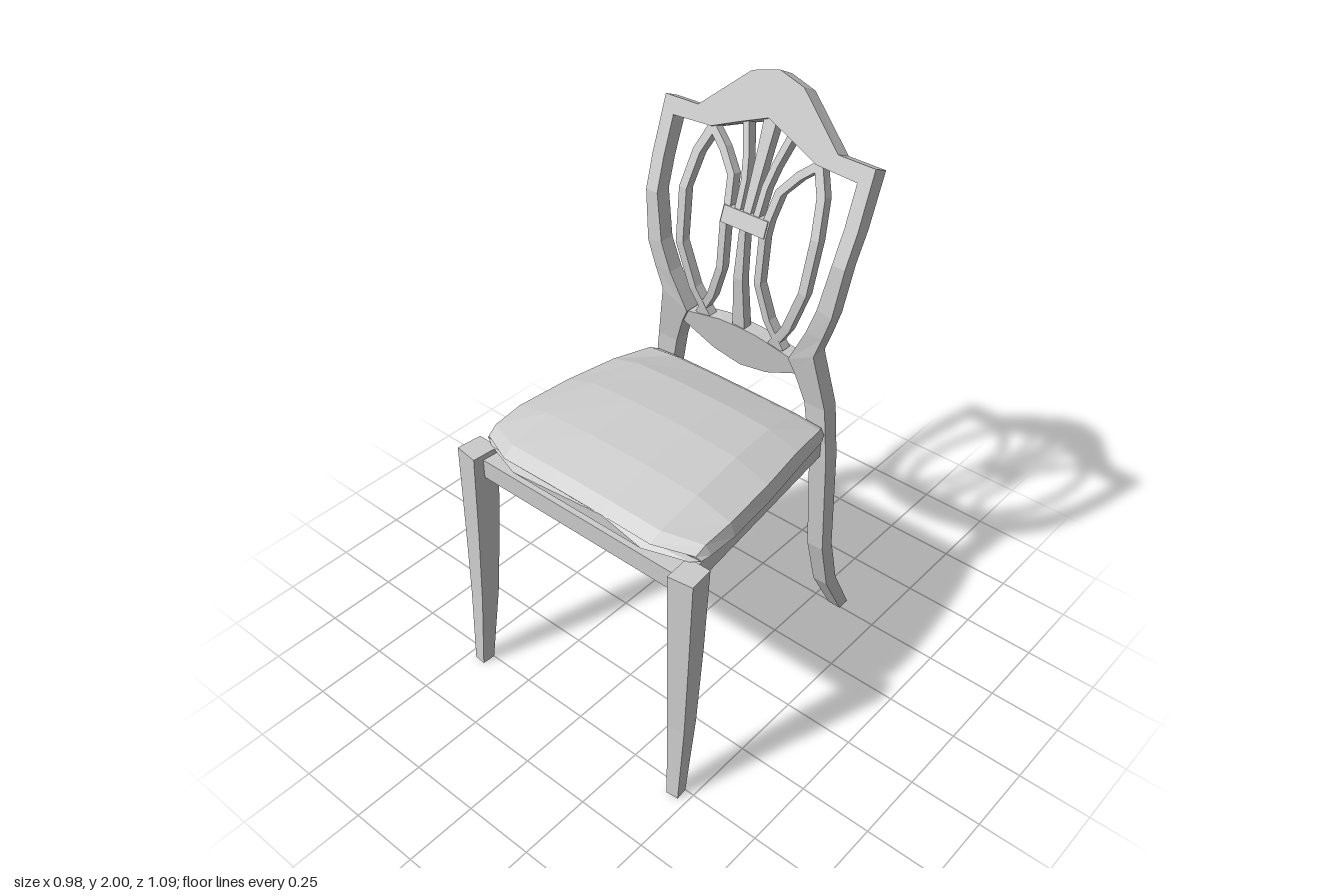
import * as THREE from 'three';

const material = new THREE.MeshStandardMaterial({ color: 0xcccccc, flatShading: true, side: THREE.DoubleSide });

// Side curve of the back and rear legs: height, front z, rear z
const CURVE = [
  [0, -0.495, -0.543], [0.2, -0.385, -0.44], [0.4, -0.335, -0.39], [0.8, -0.31, -0.37], [1.0, -0.31, -0.37],
  [1.2, -0.285, -0.345], [1.36, -0.28, -0.335], [1.53, -0.295, -0.352], [1.8, -0.395, -0.45], [2.0, -0.463, -0.522],
];
function curveAt(y) {
  let i = 1;
  while (i < CURVE.length - 1 && y > CURVE[i][0]) i++;
  const [y0, f0, b0] = CURVE[i - 1], [y1, f1, b1] = CURVE[i];
  const t = (y - y0) / (y1 - y0);
  return [f0 + (f1 - f0) * t, b0 + (b1 - b0) * t];
}

// Closed solid through equal-sized rings of [x, y, z]; capped and turned outward
function loft(name, rings) {
  const tris = [], n = rings[0].length;
  for (let i = 0; i < rings.length - 1; i++) {
    for (let j = 0; j < n; j++) {
      const k = (j + 1) % n, a = rings[i], b = rings[i + 1];
      tris.push([a[j], a[k], b[k]], [a[j], b[k], b[j]]);
    }
  }
  const first = rings[0], last = rings[rings.length - 1];
  for (let j = 1; j < n - 1; j++) {
    tris.push([first[0], first[j + 1], first[j]], [last[0], last[j], last[j + 1]]);
  }
  const v = (p) => new THREE.Vector3(...p);
  const c = v(first[0]);
  let volume = 0;
  for (const t of tris) {
    const [p, q, r] = t.map((p) => v(p).sub(c));
    volume += p.dot(q.cross(r));
  }
  if (volume < 0) tris.forEach((t) => t.reverse());
  const geometry = new THREE.BufferGeometry();
  geometry.setAttribute('position', new THREE.Float32BufferAttribute(tris.flat(2), 3));
  geometry.computeVertexNormals();
  const mesh = new THREE.Mesh(geometry, material);
  mesh.name = name;
  return mesh;
}

// Four-cornered ring across the curved back, between two outline points
function backRing(ax, ay, bx, by, inset = 0, shift = 0) {
  const corner = (x, y, rear) => {
    const [f, b] = curveAt(y);
    const t = rear ? 1 - inset : inset;
    const drop = 0.03 * THREE.MathUtils.clamp((y - 1.5) / 0.4, 0, 1);
    return [x, y - drop * t, f + (b - f) * t + shift];
  };
  return [corner(ax, ay, false), corner(bx, by, false), corner(bx, by, true), corner(ax, ay, true)];
}

// Thin slat of constant width following points [x, y] in the back
function strand(name, points, width, side) {
  const rings = points.map(([x, y], i) => {
    const p = points[Math.max(i - 1, 0)], q = points[Math.min(i + 1, points.length - 1)];
    const dx = q[0] - p[0], dy = q[1] - p[1], s = width / 2 / Math.hypot(dx, dy);
    return backRing(side * (x - dy * s), y + dx * s, side * (x + dy * s), y - dx * s, 0.2);
  });
  return loft(name, rings);
}

const mirrorRings = (rings, side) => rings.map((r) => r.map(([x, y, z]) => [x * side, y, z]));

export function createModel() {
  const model = new THREE.Group();
  model.name = 'chair';

  // Rear leg and shield stile in one piece: inner point, outer point
  const stile = [
    [0.31, 0, 0.36, 0], [0.308, 0.2, 0.365, 0.2], [0.305, 0.4, 0.368, 0.4], [0.303, 0.8, 0.37, 0.8],
    [0.27, 1.0, 0.35, 1.0], [0.235, 1.1, 0.312, 1.19], [0.21, 1.15, 0.31, 1.205], [0.275, 1.28, 0.34, 1.285],
    [0.312, 1.38, 0.368, 1.37], [0.343, 1.54, 0.39, 1.54], [0.35, 1.65, 0.397, 1.65], [0.35, 1.775, 0.397, 1.82],
  ];
  // Front leg: y, then corners x, z
  const frontLeg = [
    [0.905, [0.481, 0.412], [0.396, 0.412], [0.403, 0.512], [0.49, 0.5]],
    [0.6, [0.477, 0.432], [0.402, 0.432], [0.408, 0.52], [0.484, 0.51]],
    [0.3, [0.472, 0.458], [0.412, 0.458], [0.416, 0.53], [0.478, 0.522]],
    [0, [0.466, 0.5], [0.424, 0.5], [0.427, 0.547], [0.47, 0.543]],
  ];
  const outerStrand = [[0.2, 1.79], [0.24, 1.7], [0.258, 1.58], [0.246, 1.4], [0.19, 1.25], [0.13, 1.155]];
  const innerStrand = [[0.21, 1.79], [0.145, 1.735], [0.092, 1.67], [0.077, 1.58], [0.077, 1.53], [0.076, 1.37], [0.115, 1.25], [0.17, 1.155]];
  const fanStrand = [[0.085, 1.835], [0.055, 1.74], [0.04, 1.67], [0.036, 1.57]];

  for (const side of [1, -1]) {
    const label = side > 0 ? 'left' : 'right';
    model.add(loft(label + 'RearLegAndStile', mirrorRings(stile.map((s) => backRing(...s)), side)));
    const legRings = frontLeg.map(([y, ...c]) => c.map(([x, z]) => [x, y, z]));
    model.add(loft(label + 'FrontLeg', mirrorRings(legRings, side)));
    model.add(strand(label + 'OuterSlat', outerStrand, 0.03, side));
    model.add(strand(label + 'InnerSlat', innerStrand, 0.026, side));
    model.add(strand(label + 'FanSlat', fanStrand, 0.022, side));
  }

  // Centre slat: wedge above and below a narrow waist
  const centre = [[0.024, 1.865], [0.02, 1.78], [0.014, 1.57], [0.012, 1.53], [0.018, 1.36], [0.025, 1.16]];
  model.add(loft('centreSlat', centre.map(([w, y]) => backRing(-w, y, w, y, 0.2))));
  model.add(loft('slatBlock', [1.53, 1.582].map((y) => backRing(-0.085, y, 0.085, y, 0.12))));

  // Rails: half of x top, y top, x bottom, y bottom, mirrored into a full span
  const span = (half, inset, shift) => [
    ...half.map(([a, b, c, d]) => backRing(-a, b, -c, d, inset, shift)),
    ...half.slice().reverse().map(([a, b, c, d]) => backRing(a, b, c, d, inset, shift)),
  ];
  model.add(loft('crestRail', span([
    [0.397, 1.83, 0.397, 1.775], [0.265, 1.832, 0.2, 1.785], [0.097, 1.975, 0.1, 1.825], [0.002, 2.0, 0.002, 1.862],
  ], 0, 0)));
  model.add(loft('lowerRail', span([
    [0.215, 1.147, 0.238, 1.098], [0.075, 1.175, 0.11, 1.04], [0.002, 1.178, 0.002, 1.02],
  ], 0.05, -0.006)));

  // Seat frame: solid tapered slab
  const slab = (y) => [[-0.435, y, 0.475], [0.435, y, 0.475], [0.345, y, -0.315], [-0.345, y, -0.315]];
  model.add(loft('seatFrame', [slab(0.815), slab(0.885)]));

  // Cushion: z, half width, crown height, seam height, underside, front bulge
  const cushion = [
    [0.41, 0.445, 0.945, 0.93, 0.905, 0.062],
    [0.375, 0.452, 0.972, 0.955, 0.885, 0.055],
    [0.27, 0.455, 1.01, 0.968, 0.878, 0],
    [0.07, 0.434, 1.026, 0.972, 0.876, 0],
    [-0.12, 0.402, 1.012, 0.97, 0.875, 0],
    [-0.275, 0.374, 0.966, 0.95, 0.875, 0],
    [-0.305, 0.358, 0.945, 0.935, 0.89, 0],
  ].map(([z, w, top, seam, under, bulge]) => {
    const rise = top - seam;
    const half = [[0.25, top], [0.68, top - rise * 0.22], [0.965, seam], [1, (seam + under) / 2], [0.93, under], [0.6, under]];
    const place = (s) => ([u, y]) => [s * u * w, y, z + bulge * Math.min(1, (1 - u) / 0.32)];
    return [...half.map(place(1)), ...half.slice().reverse().map(place(-1))];
  });
  model.add(loft('seatCushion', cushion));

  return model;
}
